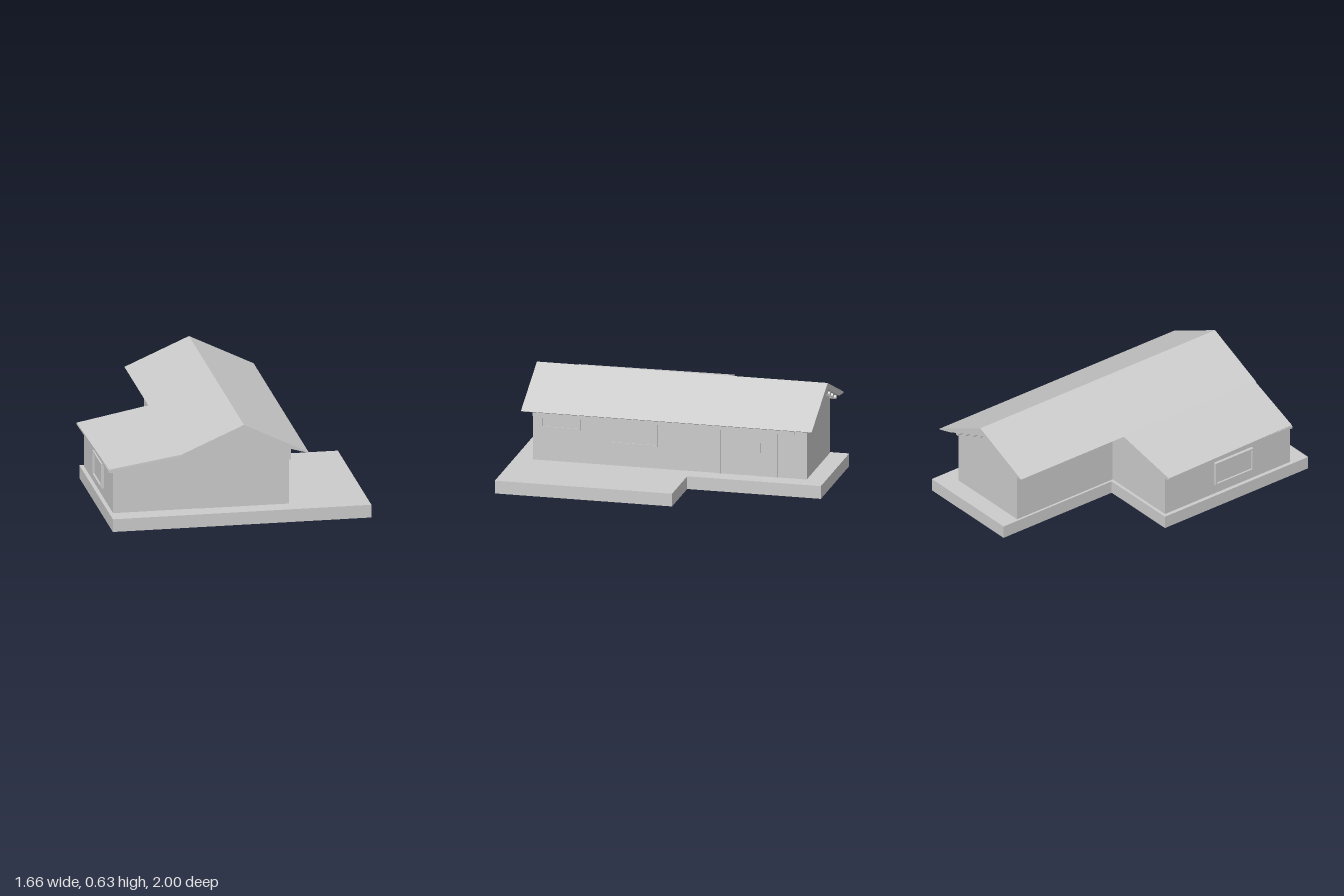
import * as THREE from 'three';

const material = new THREE.MeshStandardMaterial({ color: 0xcccccc, side: THREE.DoubleSide });

export function createModel() {
  const house = new THREE.Group();
  house.name = 'house';

  const add = (name, geometry) => {
    const mesh = new THREE.Mesh(geometry, material);
    mesh.name = name;
    house.add(mesh);
    return mesh;
  };
  // Box given by its limits on each axis
  const box = (name, x0, x1, y0, y1, z0, z1) => {
    const mesh = add(name, new THREE.BoxGeometry(x1 - x0, y1 - y0, z1 - z0));
    mesh.position.set((x0 + x1) / 2, (y0 + y1) / 2, (z0 + z1) / 2);
    return mesh;
  };
  // Outline in x and y, drawn out from z0 to z1
  const prism = (name, points, z0, z1) => {
    const shape = new THREE.Shape(points.map(([x, y]) => new THREE.Vector2(x, y)));
    const geometry = new THREE.ExtrudeGeometry(shape, { depth: z1 - z0, bevelEnabled: false });
    return add(name, geometry.translate(0, 0, z0));
  };
  // Window frame and pane on a side wall; dir is the outward x direction
  const sideWindow = (name, x, dir, y0, y1, z0, z1, depth) => {
    const t = 0.01;
    const at = (part, d, a, b, c, e) =>
      box(name + part, Math.min(x, x + dir * d), Math.max(x, x + dir * d), a, b, c, e);
    at('Pane', depth * 0.4, y0, y1, z0, z1);
    at('Sill', depth, y0, y0 + t, z0, z1);
    at('Head', depth, y1 - t, y1, z0, z1);
    at('JambBack', depth, y0, y1, z0, z0 + t);
    at('JambFront', depth, y0, y1, z1 - t, z1);
  };

  // Stepped foundation slab
  const plan = [[-0.81, -1], [0.83, -1], [0.83, 0.14], [0.445, 0.14],
    [0.445, 1], [-0.275, 1], [-0.275, 0.14], [-0.81, 0.14]];
  prism('foundation', plan, 0, 0.083).rotation.x = -Math.PI / 2;

  // Main block with gable ends, and the lean-to wing
  prism('mainWalls', [[-0.26, 0.08], [0.33, 0.08], [0.33, 0.457], [0.02, 0.585], [-0.26, 0.46]], -0.88, 0.88);
  prism('wingWalls', [[-0.785, 0.08], [-0.26, 0.08], [-0.26, 0.46], [-0.375, 0.445], [-0.785, 0.362]], -0.12, 0.875);

  // Gabled roof, thinning towards the eaves
  prism('mainRoof', [[0.035, 0.63], [-0.375, 0.452], [-0.365, 0.447], [-0.26, 0.46],
    [0.02, 0.585], [0.335, 0.455], [0.44, 0.424], [0.445, 0.428]], -0.94, 0.93);

  // Lean-to roof: a thin slab with a skewed outer edge
  const roof = new THREE.BoxGeometry(1, 1, 1);
  const p = roof.attributes.position;
  for (let i = 0; i < p.count; i++) {
    const inner = p.getX(i) > 0, front = p.getZ(i) > 0, top = p.getY(i) > 0;
    p.setXYZ(i,
      inner ? -0.37 : front ? -0.81 : -0.83,
      (inner ? 0.455 : 0.367) - (top ? 0 : 0.012),
      front ? (inner ? 0.925 : 0.87) : -0.125);
  }
  roof.computeVertexNormals();
  add('wingRoof', roof);
  box('wingEaveBoard', -0.815, -0.785, 0.345, 0.362, -0.12, 0.87);

  // Beam under the long eave
  box('eaveBeam', 0.325, 0.343, 0.37, 0.453, -0.8, 0.88);

  // Windows
  sideWindow('frontWindow', 0.33, 1, 0.295, 0.37, 0.575, 0.83, 0.008);
  sideWindow('middleWindow', 0.33, 1, 0.225, 0.37, 0.08, 0.4, 0.008);
  sideWindow('wingWindow', -0.785, -1, 0.15, 0.31, 0.27, 0.57, 0.02);

  // Tall door panels along the long wall
  for (const [z0, z1] of [[-0.45, -0.32], [-0.69, -0.57]]) {
    box('doorPanel', 0.325, 0.333, 0.083, 0.37, z0, z1);
    for (const z of [z0, z1]) box('doorPost', 0.325, 0.337, 0.083, 0.37, z - 0.005, z + 0.005);
  }
  box('doorHandle', 0.33, 0.34, 0.235, 0.3, -0.585, -0.578);

  // Round purlin ends below the rear gable
  for (const side of [-1, 1]) {
    for (let i = 0; i < 4; i++) {
      const d = 0.04 + i * 0.075;
      const purlin = add('purlinEnd', new THREE.CylinderGeometry(0.014, 0.014, 0.05, 12));
      purlin.rotation.x = Math.PI / 2;
      purlin.position.set(0.02 + side * d, 0.573 - d * (side > 0 ? 0.413 : 0.446), -0.9);
    }
  }
  return house;
}
